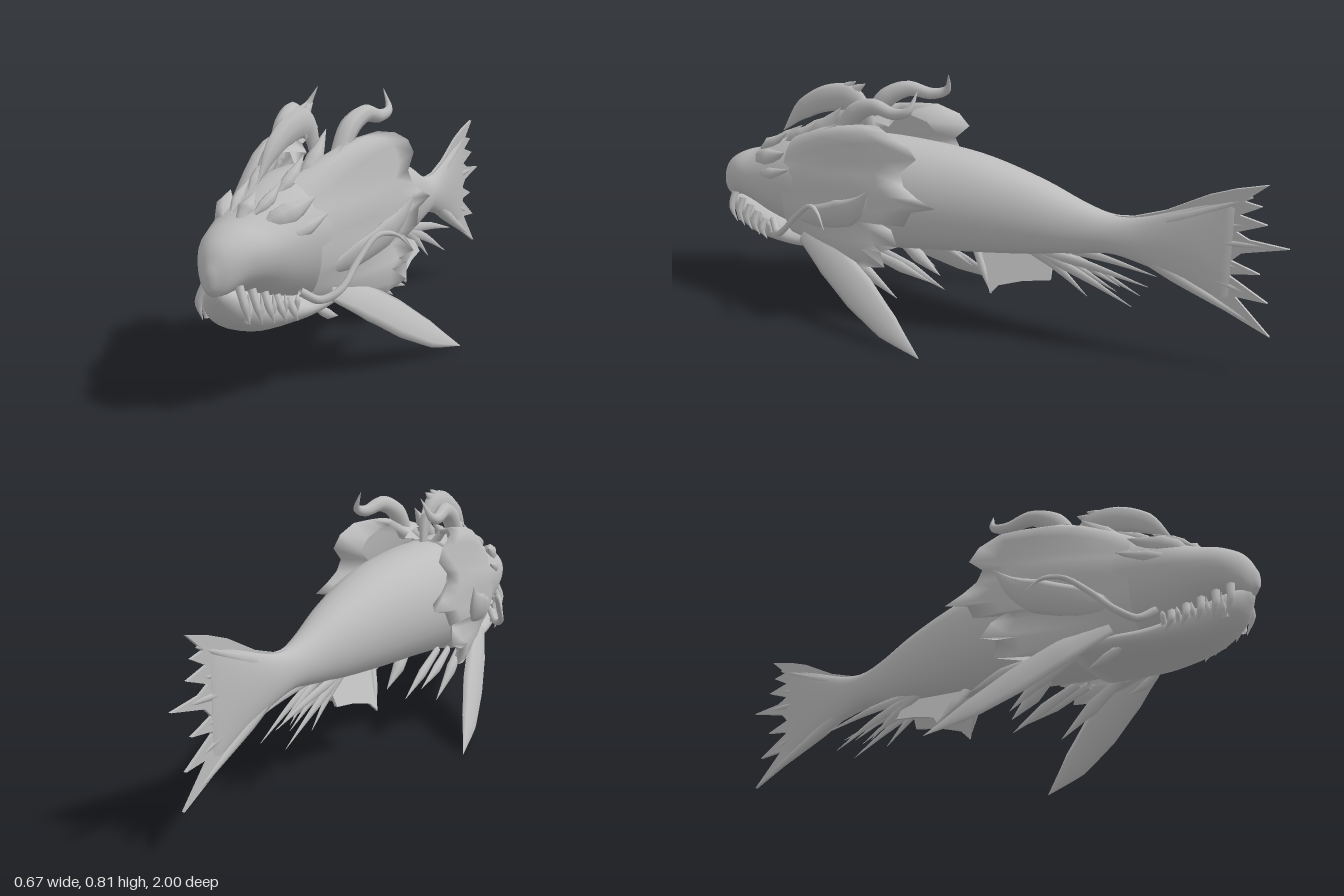
import * as THREE from 'three';

const V = (x, y, z) => new THREE.Vector3(x, y, z);
const skin = new THREE.MeshStandardMaterial({ color: 0xbcbcbc, side: THREE.DoubleSide });
skin.name = 'grey skin';

// Skin a list of point rings
function loft(rings, closed = true) {
  const n = rings[0].length, pos = [], idx = [];
  rings.forEach(r => r.forEach(p => pos.push(p.x, p.y, p.z)));
  for (let i = 0; i < rings.length - 1; i++)
    for (let j = 0; j < (closed ? n : n - 1); j++) {
      const k = (j + 1) % n, a = i * n + j, b = i * n + k, c = a + n, d = b + n;
      idx.push(a, c, b, b, c, d);
    }
  const g = new THREE.BufferGeometry();
  g.setAttribute('position', new THREE.Float32BufferAttribute(pos, 3));
  g.setIndex(idx);
  g.computeVertexNormals();
  return g;
}

// Smooth hull from rows of [z, top, bottom, halfWidth]; belt is the height of the widest line
function hull(rows, steps, belt, power) {
  const A = new THREE.CatmullRomCurve3(rows.map(r => V(r[0], r[1], r[2])), false, 'catmullrom');
  const B = new THREE.CatmullRomCurve3(rows.map(r => V(r[3], 0, 0)), false, 'catmullrom');
  const rings = [];
  for (let i = 0; i <= steps; i++) {
    const p = A.getPoint(i / steps), w = B.getPoint(i / steps).x, mid = p.z + (p.y - p.z) * belt;
    rings.push(Array.from({ length: 28 }, (_, j) => {
      const a = j / 28 * Math.PI * 2, c = Math.cos(a), s = Math.sin(a);
      return V(w * Math.sign(c) * Math.abs(c) ** power, mid + s * (s > 0 ? p.y - mid : mid - p.z), p.x);
    }));
  }
  const cap = r => r.map(() => r.reduce((t, q) => t.add(q), V(0, 0, 0)).divideScalar(r.length));
  return loft([cap(rings[0]), ...rings, cap(rings[steps])]);
}

// Tapered horn or blade along a path; flat sets thickness against width
function horn(points, widths, flat = 1, normal = [1, 0, 0], s = 1, sides = 8) {
  const curve = new THREE.CatmullRomCurve3(points.map(p => V(p[0] * s, p[1], p[2])));
  const N = V(normal[0] * s, normal[1], normal[2]), steps = points.length * 4, rings = [];
  for (let i = 0; i <= steps; i++) {
    const t = i / steps, c = curve.getPoint(t), T = curve.getTangent(t);
    const W = N.clone().cross(T).normalize(), M = T.clone().cross(W);
    const f = t * (widths.length - 1), k = Math.min(Math.floor(f), widths.length - 2);
    const w = THREE.MathUtils.lerp(widths[k], widths[k + 1], f - k);
    rings.push(Array.from({ length: sides }, (_, j) => {
      const a = j / sides * Math.PI * 2;
      return c.clone().addScaledVector(W, Math.cos(a) * w).addScaledVector(M, -Math.sin(a) * w * flat);
    }));
  }
  return loft(rings);
}

// Thin fin from a [z, y] outline; splay leans it outwards below y = 0.3
function fin(outline, thick, splay = 0) {
  const g = new THREE.ExtrudeGeometry(new THREE.Shape(outline.map(p => new THREE.Vector2(...p))),
    { depth: thick, bevelEnabled: false });
  g.translate(0, 0, -thick / 2).rotateY(-Math.PI / 2);
  const p = g.attributes.position;
  for (let i = 0; i < p.count; i++) p.setX(i, p.getX(i) + splay * (0.33 - p.getY(i)));
  g.computeVertexNormals();
  return g;
}

export function createModel() {
  const model = new THREE.Group();
  const add = (name, geometry) => {
    const m = new THREE.Mesh(geometry, skin);
    m.name = name;
    model.add(m);
  };

  // Body, running into the fleshy root of the tail fin
  add('body', hull([[0.6, 0.6, 0.21, 0.14], [0.4, 0.615, 0.22, 0.165], [0.2, 0.612, 0.245, 0.16], [0, 0.592, 0.265, 0.135],
    [-0.2, 0.54, 0.29, 0.1], [-0.35, 0.485, 0.315, 0.065], [-0.45, 0.46, 0.33, 0.046], [-0.55, 0.47, 0.312, 0.034],
    [-0.7, 0.525, 0.27, 0.022], [-0.83, 0.575, 0.22, 0.008]], 44, 0.5, 0.9));

  // Head with a beaked upper jaw, and the lower jaw closing under it
  add('head', hull([[0.997, 0.395, 0.345, 0.012], [0.965, 0.455, 0.32, 0.05], [0.91, 0.49, 0.33, 0.085], [0.84, 0.512, 0.315, 0.115],
    [0.76, 0.55, 0.28, 0.138], [0.66, 0.59, 0.25, 0.158], [0.56, 0.61, 0.22, 0.17], [0.42, 0.615, 0.22, 0.17]], 32, 0.56, 0.95));
  add('lowerJaw', hull([[0.975, 0.345, 0.315, 0.015], [0.945, 0.345, 0.265, 0.05], [0.9, 0.335, 0.228, 0.076], [0.82, 0.31, 0.2, 0.1],
    [0.7, 0.28, 0.197, 0.125], [0.6, 0.28, 0.203, 0.14], [0.45, 0.3, 0.215, 0.14]], 24, 0.5, 0.8));

  // Tail fin with ragged trailing edge
  add('tailFin', fin([[-0.42, 0.455], [-0.52, 0.465], [-0.62, 0.5], [-0.75, 0.57], [-0.83, 0.6], [-0.925, 0.625], [-0.855, 0.565],
    [-0.91, 0.555], [-0.845, 0.52], [-0.93, 0.5], [-0.84, 0.465], [-0.88, 0.445], [-1, 0.435], [-0.86, 0.4], [-0.83, 0.37],
    [-0.92, 0.34], [-0.82, 0.325], [-0.95, 0.25], [-0.85, 0.255], [-0.965, 0.14], [-0.83, 0.2], [-0.7, 0.26], [-0.6, 0.3],
    [-0.5, 0.325], [-0.42, 0.335]], 0.01));
  [[0.58, -0.88], [0.5, -0.9], [0.435, -0.98], [0.345, -0.89], [0.26, -0.92], [0.155, -0.95]].forEach(([y, z]) =>
    add('tailRay', horn([[0, 0.4, -0.45], [0, 0.4 + (y - 0.4) * 0.45, -0.66], [0, y, z]], [0.03, 0.024, 0.003], 0.8)));

  // Belly spike between the fins
  add('bellySpike', horn([[0, 0.27, 0.32], [0, 0.2, 0.23], [0, 0.143, 0.15]], [0.015, 0.025, 0.001], 0.8));

  // Crescent crest on a stalk, sweeping forward over the head
  add('crest', horn([[0, 0.58, 0.4], [0, 0.68, 0.42], [0, 0.73, 0.47], [0, 0.72, 0.56], [0, 0.67, 0.66], [0, 0.585, 0.745]],
    [0.015, 0.03, 0.046, 0.046, 0.034, 0.001], 0.5));
  [[0.785, 0.415], [0.79, 0.45], [0.71, 0.385]].forEach(([y, z]) =>
    add('crestBarb', horn([[0, 0.7, 0.49], [0, (y + 0.7) / 2 + 0.015, z + 0.04], [0, y, z]], [0.03, 0.02, 0.001], 0.5)));
  add('noseSpike', horn([[0, 0.49, 0.85], [0, 0.525, 0.8], [0, 0.57, 0.755]], [0.01, 0.03, 0.001], 0.9));

  for (const s of [1, -1]) {
    // Flared gill frill with scalloped rear edge
    const edge = [[0.05, 0.63, 0.36], [0.1, 0.68, 0.33], [0.15, 0.697, 0.29], [0.185, 0.69, 0.24], [0.195, 0.662, 0.165],
      [0.2, 0.62, 0.13], [0.205, 0.57, 0.185], [0.213, 0.53, 0.17], [0.22, 0.5, 0.12], [0.225, 0.475, 0.055], [0.222, 0.45, 0.14],
      [0.226, 0.4, 0.165], [0.205, 0.4, 0.29], [0.21, 0.375, 0.22], [0.226, 0.325, 0.19], [0.23, 0.3, 0.25],
      [0.224, 0.245, 0.24], [0.2, 0.222, 0.33], [0.13, 0.22, 0.4]].map(p => V(p[0] * s, p[1], p[2]));
    const front = edge.map((_, j) => {
      const a = (0.42 - 0.84 * j / (edge.length - 1)) * Math.PI;
      return V(s * 0.155 * Math.cos(a) ** 0.7, 0.41 + 0.185 * Math.sin(a), 0.665);
    });
    const rows = [0, 0.2, 0.4, 0.6, 0.8, 1].map(t => edge.map((e, j) => {
      const p = front[j].clone().lerp(e, t), b = Math.sin(t * Math.PI);
      return p.add(V(s * 0.018 * b, j < 5 ? 0.03 * b : 0, 0));
    }));
    rows.push(edge.map(e => V(e.x * 0.75, 0.42 + (e.y - 0.42) * 0.88, e.z + 0.1)));
    if (s > 0) rows.forEach(r => r.reverse());
    add('gillFrill', loft(rows, false));

    // Rear curling horn
    add('horn', horn([[0.1, 0.62, 0.46], [0.107, 0.71, 0.4], [0.122, 0.75, 0.32], [0.135, 0.738, 0.24], [0.14, 0.755, 0.185], [0.113, 0.815, 0.165]],
      [0.03, 0.034, 0.027, 0.02, 0.014, 0.001], 0.85, [1, 0, 0], s));

    // Whisker
    add('whisker', horn([[0.12, 0.3, 0.73], [0.16, 0.272, 0.69], [0.2, 0.295, 0.645], [0.22, 0.365, 0.575], [0.245, 0.425, 0.5],
      [0.28, 0.422, 0.45], [0.31, 0.38, 0.41]], [0.013, 0.012, 0.01, 0.009, 0.007, 0.001], 1, [1, 0, 0], s));

    // Cheek blade
    add('cheekBlade', horn([[0.14, 0.33, 0.64], [0.185, 0.365, 0.52], [0.222, 0.41, 0.39], [0.243, 0.455, 0.32], [0.262, 0.515, 0.27]],
      [0.01, 0.045, 0.052, 0.03, 0.001], 0.35, [1, -0.4, 0.3], s));

    // Pectoral fin and the short rays behind it
    add('pectoralFin', horn([[0.14, 0.28, 0.59], [0.19, 0.22, 0.46], [0.24, 0.145, 0.33], [0.29, 0.07, 0.2], [0.335, 0.004, 0.065]],
      [0.035, 0.06, 0.063, 0.045, 0.001], 0.28, [0.62, 0.3, 0.1], s));
    [[0.145, 0.102, 0.24, 0.026], [0.11, 0.15, 0.08, 0.02], [0.16, 0.19, 0.1, 0.02]].forEach(([x, y, z, r]) =>
      add('pelvicRay', horn([[0.6 * x + 0.03, 0.25, z + 0.26], [0.9 * x + 0.01, (0.25 + y) / 2 + 0.005, z + 0.12], [x, y, z]],
        [0.015, r, 0.001], 0.6, [1, 0, 0], s)));

    // Splayed underside fin with its leading spike
    add('analFin', fin([[0, 0.3], [-0.02, 0.255], [-0.05, 0.2], [-0.075, 0.157], [-0.1, 0.185], [-0.18, 0.21], [-0.27, 0.225],
      [-0.265, 0.31], [-0.1, 0.33]], 0.01, s * 0.5));
    add('analSpike', horn([[0.02, 0.29, 0.01], [0.055, 0.22, -0.035], [0.087, 0.155, -0.078]], [0.015, 0.014, 0.001], 0.8, [1, 0, 0], s));

    // Trailing rays under the tail
    [[0.045, 0.178, -0.54], [0.04, 0.185, -0.39], [0.045, 0.255, -0.59], [0.02, 0.21, -0.48]].forEach(([x, y, z]) =>
      add('tailRayLower', horn([[0.03, 0.31, -0.2], [x * 0.9, (0.31 + y) / 2 + 0.01, (z - 0.2) / 2], [x, y, z]],
        [0.02, 0.014, 0.001], 0.5, [1, 0, 0], s)));

    // Brow and ridge spikes swelling out of the head: base, tip, radius
    [[[0.055, 0.485, 0.83], [0.135, 0.553, 0.66], 0.048], [[0.1, 0.45, 0.8], [0.158, 0.505, 0.63], 0.03],
      [[0.035, 0.52, 0.82], [0.05, 0.595, 0.7], 0.025], [[0.045, 0.56, 0.71], [0.05, 0.65, 0.57], 0.03],
      [[0.065, 0.57, 0.62], [0.07, 0.715, 0.47], 0.04], [[0.1, 0.56, 0.62], [0.13, 0.68, 0.45], 0.035],
      [[0.11, 0.23, 0.62], [0.12, 0.18, 0.5], 0.02]].forEach(([a, b, r]) =>
      add('headSpike', horn([a, [(a[0] + b[0]) / 2 + 0.004, (a[1] + b[1]) / 2 - 0.006, (a[2] + b[2]) / 2], b],
        [0.004, r * 0.7, r * 0.75, r * 0.4, 0.001], 0.8, [1, 0, 0], s)));

    // Splayed upper teeth and shorter lower teeth
    for (let i = 0; i < 5; i++) {
      const t = i / 4, x = 0.05 + 0.055 * t, y = 0.35 - 0.06 * t, z = 0.93 - 0.16 * t, l = 0.105 - 0.04 * t;
      add('upperTooth', horn([[x, y, z], [x + 0.02, y - l * 0.5, z + 0.006], [x + 0.022, y - l, z - 0.015]],
        [0.014, 0.012, 0.001], 0.8, [1, 0, 0], s, 6));
      add('lowerTooth', horn([[x + 0.01, 0.25, z - 0.02], [x + 0.018, 0.28, z - 0.02], [x + 0.012, 0.33 - 0.035 * t, z - 0.025]],
        [0.01, 0.009, 0.001], 0.8, [1, 0, 0], s, 6));
    }
  }
  return model;
}
